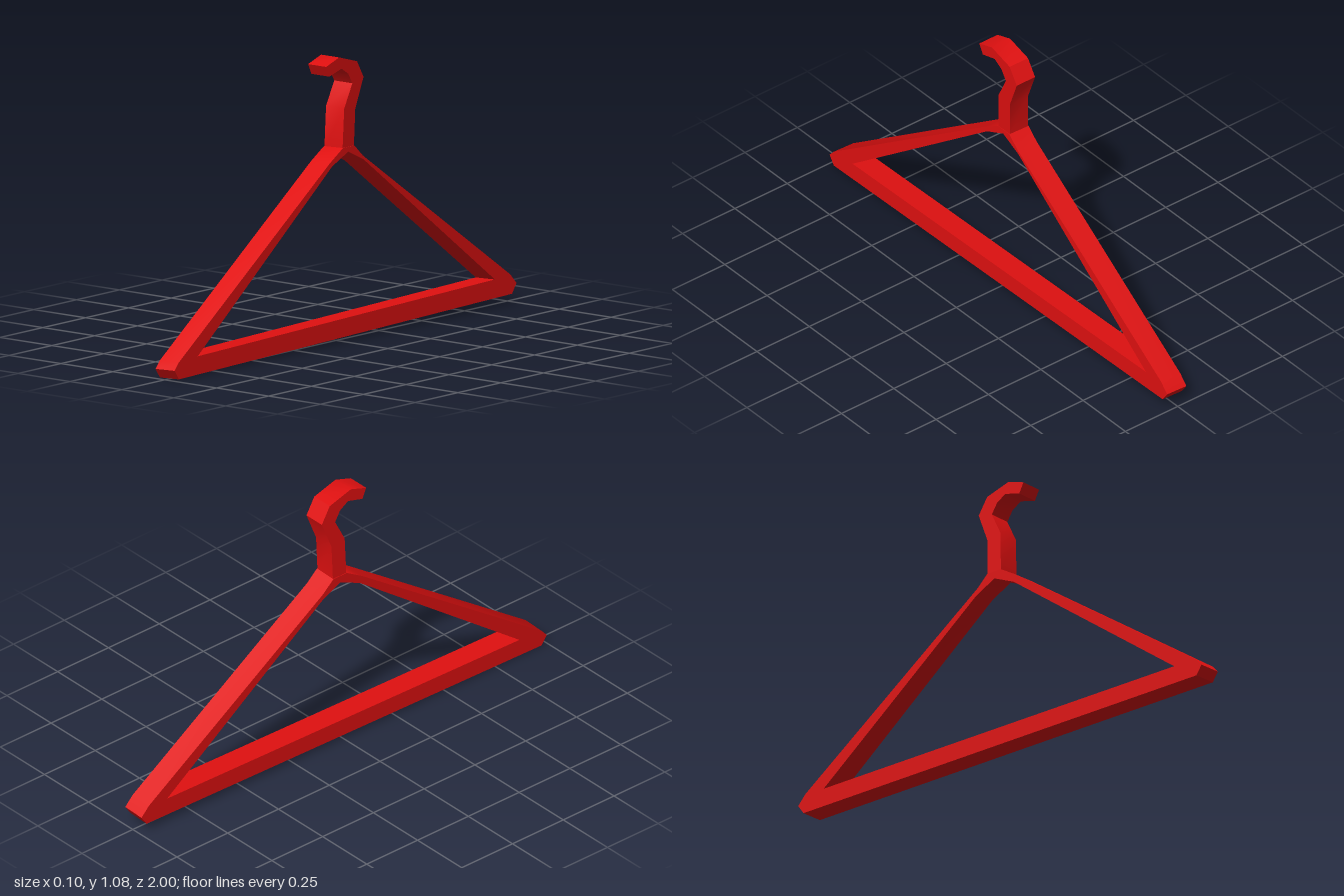
import * as THREE from 'three';
import { toCreasedNormals } from 'three/addons/utils/BufferGeometryUtils.js';

// Side profiles as [z, y] pairs
const FRAME = [[1, 0.04], [0.975, 0.004], [-0.97, 0.038], [-0.996, 0.075], [-0.96, 0.113],
  [-0.105, 0.69], [-0.056, 0.735], [0.01, 0.735], [0.085, 0.69], [0.975, 0.068]];
const OPENING = [[0.865, 0.075], [0.075, 0.663], [-0.02, 0.706], [-0.11, 0.663], [-0.87, 0.107]];
const HOOK = [[0.01, 0.73], [-0.056, 0.73], [-0.06, 0.875], [-0.105, 0.99], [-0.065, 1.055], [0.04, 1.085],
  [0.115, 1.06], [0.095, 1.02], [0.025, 1.04], [-0.015, 1.015], [-0.04, 0.975], [0.005, 0.885]];
const WIDTH = 0.092;

const toPoints = (profile) => profile.map(([z, y]) => new THREE.Vector2(-z, y));

// Extrude a side profile across x, then apply a vertex rule
function extrudeProfile(profile, hole, rule) {
  const shape = new THREE.Shape(toPoints(profile));
  if (hole) shape.holes.push(new THREE.Path(toPoints(hole)));
  const geometry = new THREE.ExtrudeGeometry(shape, { depth: WIDTH, bevelEnabled: false });
  geometry.translate(0, 0, -WIDTH / 2).rotateY(Math.PI / 2);
  const position = geometry.attributes.position;
  const v = new THREE.Vector3();
  for (let i = 0; i < position.count; i++) {
    rule(v.fromBufferAttribute(position, i));
    position.setXYZ(i, v.x, v.y, v.z);
  }
  return toCreasedNormals(geometry, 0.7);
}

export function createModel() {
  const red = new THREE.MeshStandardMaterial({ color: 0xe01010 });
  red.name = 'red';
  const model = new THREE.Group();
  model.name = 'clothesHanger';

  // Triangular frame: the undersides of the arms slope up slightly towards +x
  const frame = new THREE.Mesh(extrudeProfile(FRAME, OPENING, (v) => {
    const insideTop = OPENING.slice(1, 4).some(([z, y]) => Math.hypot(z - v.z, y - v.y) < 0.001);
    if (insideTop && v.x > 0) v.y += 0.011;
    v.y += 0.04 * v.x;
    v.x += 0.002 - 0.008 * v.y;
  }), red);
  frame.name = 'frame';

  // Neck and hook, leaning slightly to the side
  const hook = new THREE.Mesh(extrudeProfile(HOOK, null, (v) => {
    v.x = v.x * 0.95 - 0.004 + 0.024 * (v.y - 0.73);
  }), red);
  hook.name = 'hook';

  model.add(frame, hook);
  return model;
}
